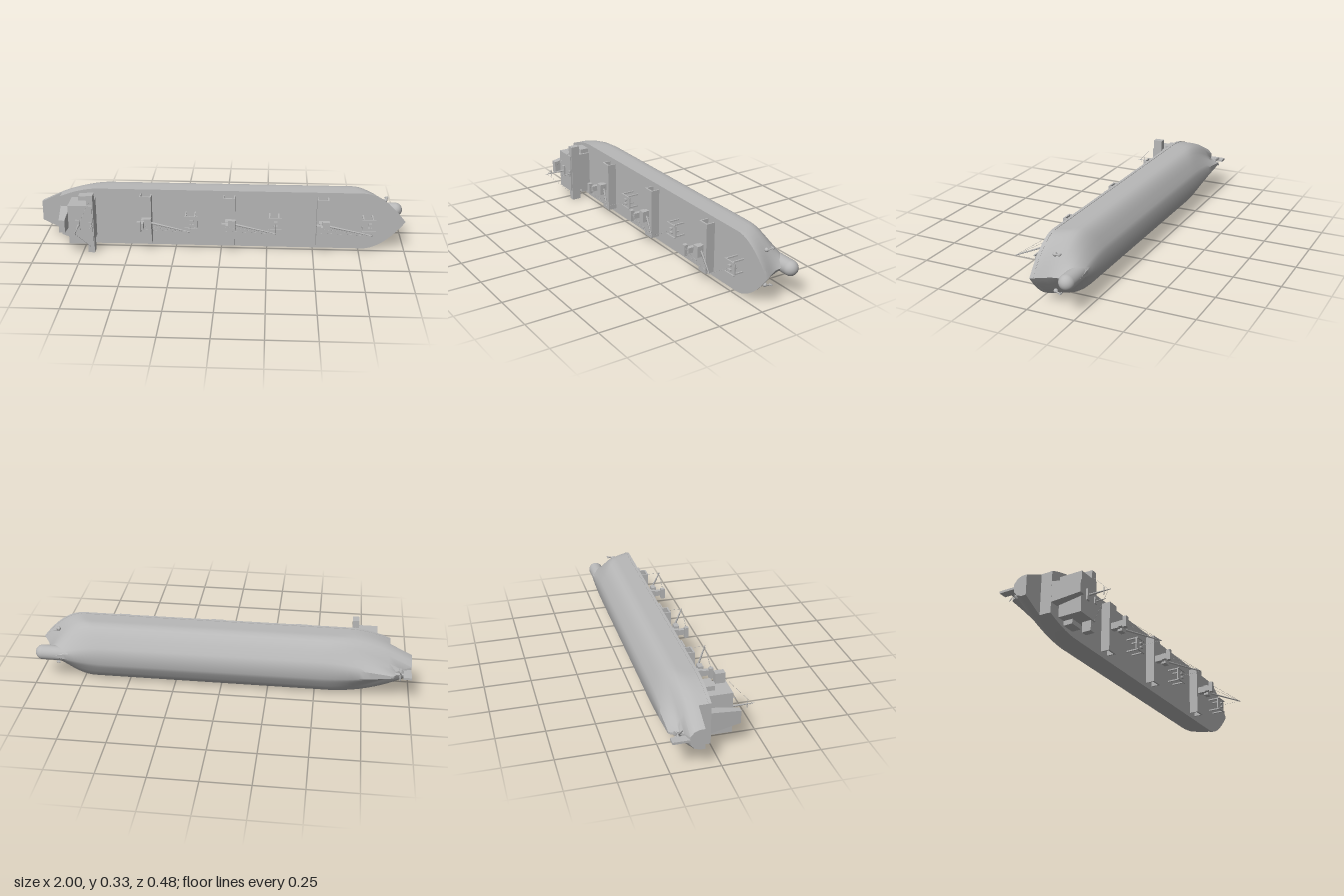
import * as THREE from 'three';
import { toCreasedNormals } from 'three/addons/utils/BufferGeometryUtils.js';

const steel = new THREE.MeshStandardMaterial({ color: 0xb8b8b8 });
steel.name = 'grey steel';

function add(parent, name, geometry, x = 0, y = 0, z = 0) {
  const mesh = new THREE.Mesh(geometry, steel);
  mesh.name = name;
  mesh.position.set(x, y, z);
  parent.add(mesh);
  return mesh;
}

// Box from x and z ranges, centred on the y axis unless offset
function box(parent, name, x0, x1, half, z0, z1, y = 0) {
  const g = new THREE.BoxGeometry(x1 - x0, half * 2, z1 - z0);
  return add(parent, name, g, (x0 + x1) / 2, y, (z0 + z1) / 2);
}

// Tapering round bar between two points
function bar(parent, name, from, to, r0, r1 = r0, sides = 6) {
  const a = new THREE.Vector3(...from), b = new THREE.Vector3(...to);
  const dir = b.clone().sub(a);
  const mesh = add(parent, name, new THREE.CylinderGeometry(r1, r0, dir.length(), sides));
  mesh.position.copy(a).add(b).multiplyScalar(0.5);
  mesh.quaternion.setFromUnitVectors(new THREE.Vector3(0, 1, 0), dir.normalize());
  return mesh;
}

// Hull lofted through waterlines from the rail down to the keel
function hullGeometry() {
  // z, half beam, stern x, bow x, stern taper end, taper start, stern ratio, bow taper start
  const levels = [
    [-0.02, 0.162, -0.885, 1.0, -1, -0.68, 0.34, 0.77],
    [-0.035, 0.162, -0.885, 0.993, -1, -0.68, 0.34, 0.77],
    [-0.035, 0.16, -0.885, 0.992, -1, -0.68, 0.34, 0.77],
    [-0.06, 0.16, -0.885, 0.976, -1, -0.68, 0.34, 0.76],
    [-0.083, 0.16, -0.885, 0.962, -1, -0.68, 0.34, 0.75],
    [-0.083, 0.16, -1, 0.962, -1, -0.68, 0.34, 0.75],
    [-0.11, 0.16, -1, 0.948, -1, -0.66, 0.34, 0.73],
    [-0.135, 0.159, -1, 0.942, -1, -0.62, 0.28, 0.71],
    [-0.155, 0.15, -1, 0.94, -1, -0.59, 0.14, 0.69],
    [-0.17, 0.138, -0.95, 0.942, -0.95, -0.57, 0.07, 0.67],
    [-0.185, 0.122, -0.92, 0.945, -0.92, -0.55, 0.05, 0.65],
    [-0.2, 0.1, -0.92, 0.945, -0.92, -0.54, 0.05, 0.64],
    [-0.212, 0.08, -0.92, 0.94, -0.92, -0.53, 0.06, 0.63],
    [-0.225, 0.058, -0.915, 0.93, -0.92, -0.52, 0.08, 0.62],
    [-0.235, 0.035, -0.905, 0.91, -0.92, -0.52, 0.1, 0.6],
  ];
  const AFT = 16, FORE = 26, M = AFT + FORE + 2, ring = 2 * M + 1;
  const pos = [], index = [];
  for (const [z, beam, xs, xb, end, start, ratio, fore] of levels) {
    const side = [];
    for (let i = 0; i <= M; i++) {
      let x = xs;
      if (i > 0 && i <= AFT + 1) x = THREE.MathUtils.lerp(-0.88, -0.4, (i - 1) / AFT);
      if (i > AFT + 1) x = THREE.MathUtils.lerp(0.5, xb, Math.sin((i - AFT - 2) / FORE * Math.PI / 2));
      const s = Math.max(0, (start - x) / (start - end));
      const b = Math.max(0, (x - fore) / (xb - fore));
      const h = beam * (1 - (1 - ratio) * Math.min(1, s) ** 1.75) * (1 - b ** 1.9);
      side.push([x, i === M ? 0 : h, z]);
    }
    for (const p of side) pos.push(...p);
    for (let i = M - 1; i >= 0; i--) pos.push(side[i][0], -side[i][1], z);
  }
  const last = (levels.length - 1) * ring;
  for (let k = 0; k < last; k += ring) {
    for (let i = 0; i < ring; i++) {
      const j = (i + 1) % ring;
      const a = k + i, b = k + j, c = a + ring, d = b + ring;
      index.push(a, b, c, b, d, c);
    }
  }
  // Deck and keel plates
  for (let i = 0; i < M; i++) {
    const p = i, q = i + 1, s = 2 * M - i, t = 2 * M - i - 1;
    index.push(s, t, q, s, q, p);
    index.push(last + s, last + q, last + t, last + s, last + p, last + q);
  }
  const g = new THREE.BufferGeometry();
  g.setAttribute('position', new THREE.Float32BufferAttribute(pos, 3));
  g.setIndex(index);
  return toCreasedNormals(g, 0.6);
}

// Deck crane on its open house, with boom, wires and boom rest
function crane(x) {
  const g = new THREE.Group();
  g.name = 'deckCrane';
  g.position.x = x;
  box(g, 'craneHouseTop', 0, 0.064, 0.137, 0.021, 0.03);
  for (const wx of [0, 0.057]) box(g, 'craneHouseWall', wx, wx + 0.007, 0.137, -0.022, 0.022);
  box(g, 'cranePedestal', 0.012, 0.042, 0.018, 0.03, 0.075);
  box(g, 'craneTower', 0.008, 0.03, 0.015, 0.075, 0.115);
  box(g, 'craneCab', 0.03, 0.068, 0.03, 0.058, 0.085);
  box(g, 'winchHouse', -0.004, 0.018, 0.03, 0.108, 0.13);
  bar(g, 'boom', [0.035, 0, 0.045], [0.286, 0, 0.172], 0.007, 0.003);
  for (const s of [-1, 1]) bar(g, 'luffingWire', [0.008, s * 0.012, 0.124], [0.286, 0, 0.172], 0.0007, 0.0007, 4);
  bar(g, 'hoistWire', [0.285, 0, 0.172], [0.285, 0, 0.045], 0.0007, 0.0007, 4);
  // Boom rest
  box(g, 'restPlatform', 0.245, 0.318, 0.03, 0.038, 0.045);
  for (const s of [-1, 1]) {
    box(g, 'restRail', 0.245, 0.318, 0.003, 0.045, 0.052, s * 0.034);
    for (const px of [0.248, 0.298]) box(g, 'restPost', px, px + 0.007, 0.0035, -0.022, 0.05, s * 0.034);
    box(g, 'restCradle', 0.275, 0.295, 0.004, 0.045, 0.056, s * 0.012);
  }
  return g;
}

export function createModel() {
  const model = new THREE.Group();
  model.name = 'cargoShip';
  const ship = new THREE.Group();
  ship.name = 'ship';
  ship.position.y = 0.165;
  model.add(ship);

  add(ship, 'hull', hullGeometry());
  const bulb = new THREE.CapsuleGeometry(0.04, 0.2, 12, 28).rotateZ(Math.PI / 2);
  add(ship, 'bulbousBow', bulb, 0.86, 0, -0.195);

  // Anchors on both bows
  for (const s of [-1, 1]) {
    add(ship, 'anchorHawse', new THREE.SphereGeometry(0.011, 14, 10), 0.893, s * 0.094, -0.098);
    bar(ship, 'anchorShank', [0.9, s * 0.094, -0.1], [0.902, s * 0.1, -0.128], 0.004);
    bar(ship, 'anchorFluke', [0.892, s * 0.1, -0.128], [0.912, s * 0.098, -0.128], 0.005);
  }

  // Rudder and propeller
  box(ship, 'rudder', -1, -0.957, 0.006, -0.24, -0.15);
  bar(ship, 'propellerHub', [-0.957, 0, -0.2], [-0.9, 0, -0.2], 0.006, 0.009, 14);
  for (let i = 0; i < 4; i++) {
    const blade = new THREE.SphereGeometry(1, 12, 8).scale(0.0025, 0.016, 0.009);
    blade.rotateY(0.6).translate(0, 0.02, 0).rotateX(Math.PI / 4 + i * Math.PI / 2);
    add(ship, 'propellerBlade', blade, -0.942, 0, -0.2);
  }

  // Accommodation block and bridge
  box(ship, 'lowerHouse', -0.775, -0.7, 0.135, -0.022, 0.03);
  box(ship, 'upperHouse', -0.82, -0.69, 0.11, -0.022, 0.108);
  box(ship, 'bridgeWings', -0.72, -0.685, 0.165, 0.05, 0.1);
  box(ship, 'mastBase', -0.78, -0.757, 0.03, 0.108, 0.118);
  box(ship, 'foremastBase', -0.71, -0.692, 0.018, 0.108, 0.115);

  // Funnel, narrowing towards the top with an upright forward face
  const funnel = new THREE.BoxGeometry(0.05, 0.114, 0.16);
  const p = funnel.attributes.position;
  for (let i = 0; i < p.count; i++) {
    if (p.getZ(i) < 0) continue;
    p.setY(i, p.getY(i) * 0.6);
    if (p.getX(i) < 0) p.setX(i, -0.007);
  }
  funnel.computeVertexNormals();
  add(ship, 'funnel', funnel, -0.86, 0, 0.055);

  // Masts and stays
  bar(ship, 'mainMast', [-0.765, 0, 0.1], [-0.765, 0, 0.238], 0.007, 0.0015, 8);
  bar(ship, 'mastYard', [-0.765, -0.021, 0.2], [-0.765, 0.021, 0.2], 0.002);
  bar(ship, 'foreMast', [-0.695, 0, 0.1], [-0.695, 0, 0.167], 0.005, 0.0015, 8);
  for (const s of [-1, 1]) bar(ship, 'mastStay', [-0.765, 0, 0.225], [-0.705, s * 0.13, 0.1], 0.0006, 0.0006, 4);

  for (const x of [-0.444, 0.011, 0.517]) ship.add(crane(x));
  return model;
}
